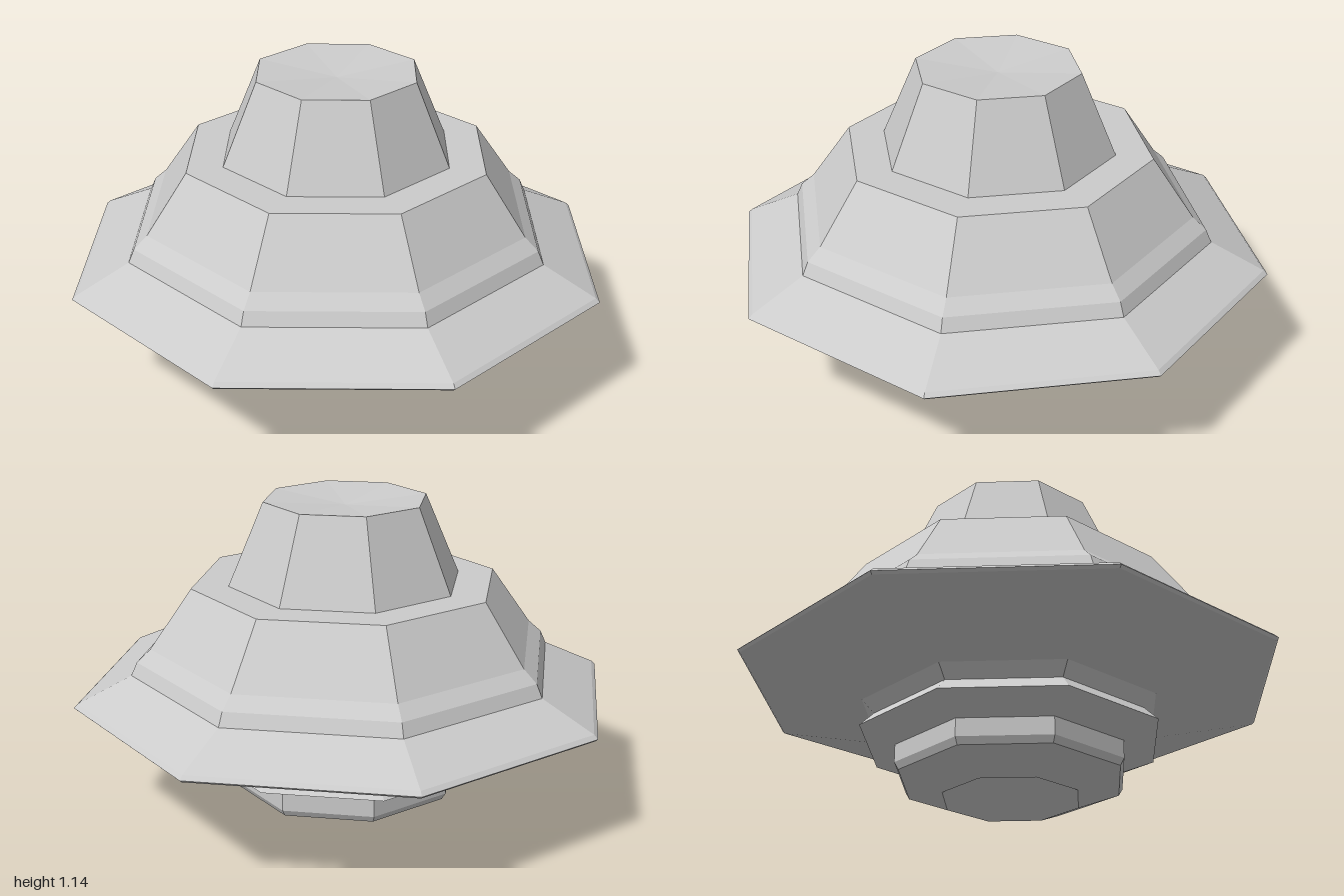
import * as THREE from 'three';

const SIDES = 8;
const material = new THREE.MeshStandardMaterial({ color: 0xcccccc, flatShading: true });

// Eight-sided turned section; profile is [radius, height] from bottom to top.
function turned(name, profile) {
  const points = profile.map(([r, y]) => new THREE.Vector2(r, y));
  const geometry = new THREE.LatheGeometry(points, SIDES).toNonIndexed();
  geometry.computeVertexNormals();
  const mesh = new THREE.Mesh(geometry, material);
  mesh.name = name;
  return mesh;
}

export function createModel() {
  const model = new THREE.Group();
  model.name = 'saucer';
  model.add(
    // Hollow cone underneath, then the bevelled foot
    turned('bottomRecess', [[0, 0.15], [0.255, 0]]),
    turned('foot', [[0.255, 0], [0.415, 0.065], [0.43, 0.09], [0.43, 0.155]]),
    // Flared collar with a V-shaped groove below the brim
    turned('collar', [[0.43, 0.155], [0.56, 0.212], [0.51, 0.262], [0.555, 0.308]]),
    // Wide thin disc
    turned('brim', [[0.555, 0.308], [0.99, 0.422], [1, 0.431], [0.985, 0.445], [0.79, 0.537]]),
    // Sloped upper hull with a soft shoulder and flat deck
    turned('upperHull', [[0.79, 0.537], [0.768, 0.585], [0.718, 0.63], [0.565, 0.845], [0.43, 0.845]]),
    // Tapered tower with a slightly dished roof
    turned('tower', [[0.43, 0.845], [0.3, 1.145]]),
    turned('roof', [[0.3, 1.145], [0, 1.12]]),
  );
  return model;
}
